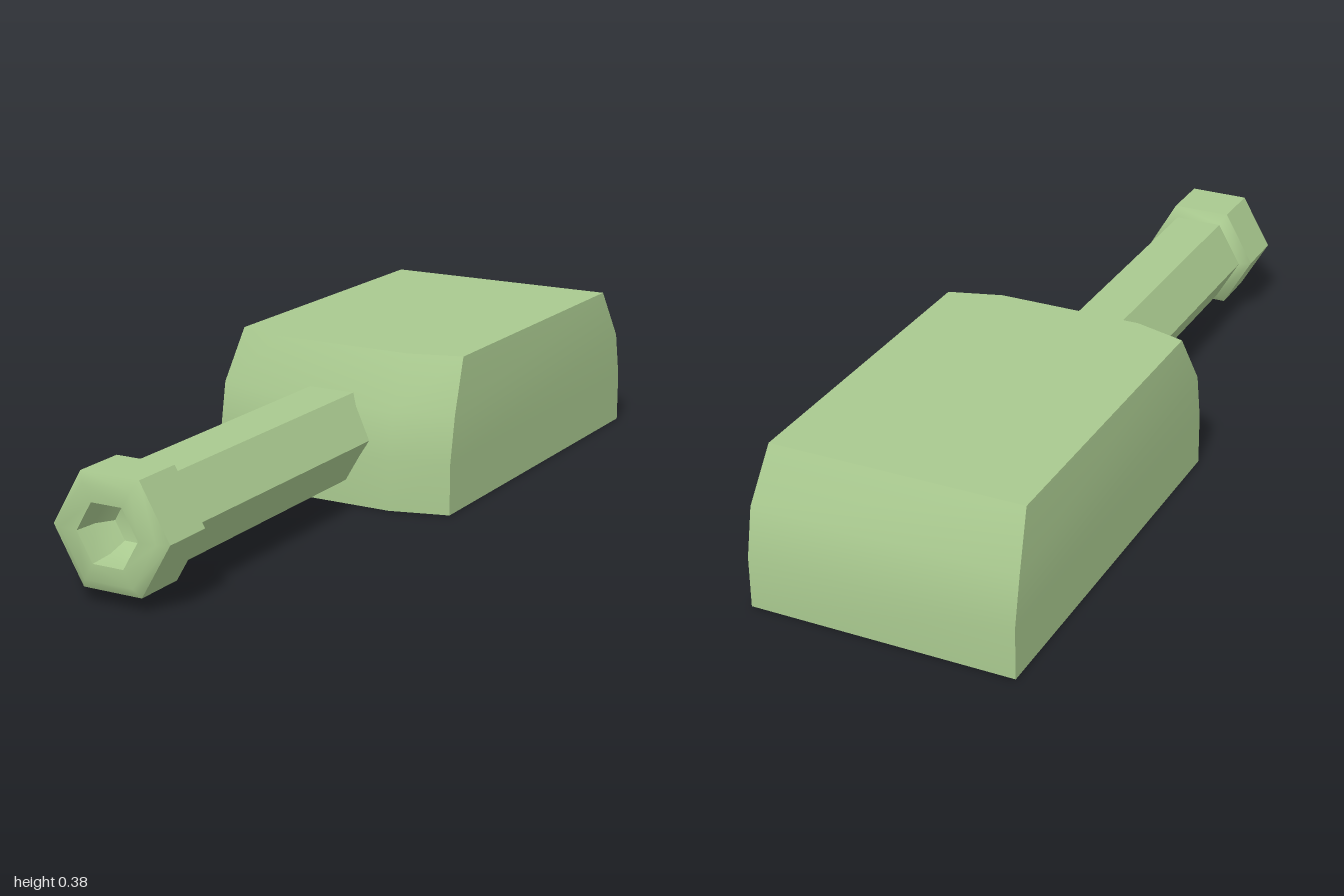
import * as THREE from 'three';
import { toCreasedNormals } from 'three/addons/utils/BufferGeometryUtils.js';

// Closed solid from stacked horizontal outlines, each counterclockwise seen from above
function loft(rings) {
  const n = rings[0].length;
  const index = [];
  for (let r = 0; r < rings.length - 1; r++) {
    for (let i = 0; i < n; i++) {
      const a = r * n + i, b = r * n + (i + 1) % n;
      index.push(a, b, b + n, a, b + n, a + n);
    }
  }
  const top = (rings.length - 1) * n;
  for (let i = 1; i < n - 1; i++) {
    index.push(0, i + 1, i); // underside
    index.push(top, top + i, top + i + 1); // roof
  }
  const geo = new THREE.BufferGeometry();
  geo.setAttribute('position', new THREE.Float32BufferAttribute(rings.flat(2), 3));
  geo.setIndex(index);
  return toCreasedNormals(geo, 0.6);
}

export function createModel() {
  const group = new THREE.Group();
  const material = new THREE.MeshStandardMaterial({ color: 0xa9c98f });

  function add(name, geometry) {
    const mesh = new THREE.Mesh(geometry, material);
    mesh.name = name;
    group.add(mesh);
    return mesh;
  }

  // Housing: height, half width, front centre z, front corner z, back z
  const levels = [
    [0, 0.333, 0.077, 0.035, -1],
    [0.13, 0.333, 0.077, 0.035, -1],
    [0.25, 0.333, 0.055, 0.013, -0.975],
    [0.381, 0.318, -0.018, -0.058, -0.908],
  ];
  add('housing', loft(levels.map(([y, w, front, corner, back]) => [
    [-w, y, corner], [-0.185, y, front], [0.185, y, front],
    [w, y, corner], [w, y, back], [-w, y, back],
  ])));

  // Hexagonal barrel with a wider muzzle collar and a hollow bore: radius, z
  const profile = [
    [0, 0], [0.125, 0], [0.125, 0.83], [0.154, 0.85], [0.154, 0.985],
    [0.127, 1], [0.081, 1], [0.075, 0.94], [0.05, 0.9], [0, 0.89],
  ].map(([r, z]) => new THREE.Vector2(r, z));
  const barrel = new THREE.LatheGeometry(profile, 6, Math.PI / 2);
  barrel.rotateX(Math.PI / 2);
  add('barrel', toCreasedNormals(barrel, 0.8)).position.y = 0.17;

  return group;
}
